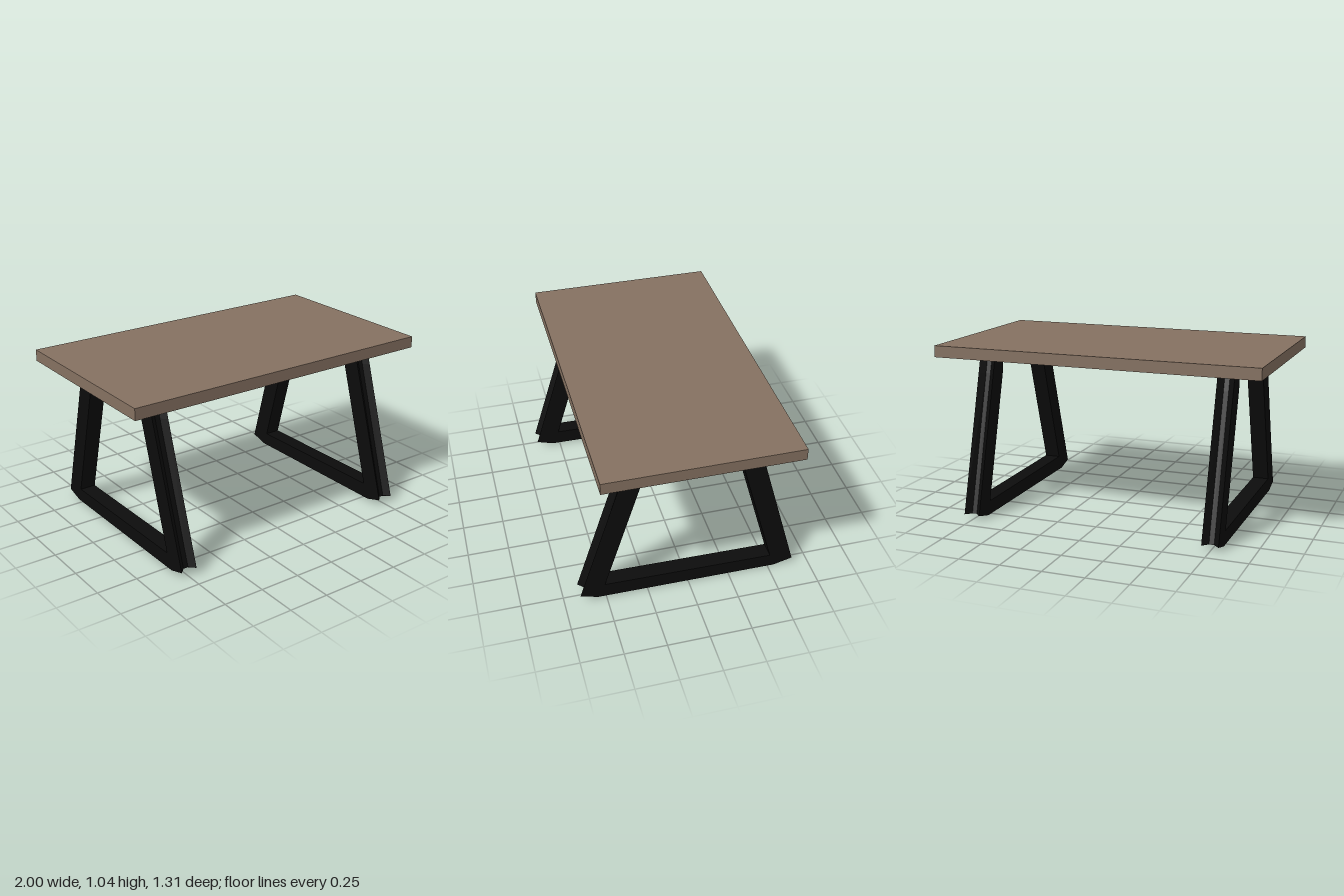
import * as THREE from 'three';
import { ConvexGeometry } from 'three/addons/geometries/ConvexGeometry.js';

const wood = new THREE.MeshStandardMaterial({ color: 0x857161 });
wood.name = 'brown wood';
const steel = new THREE.MeshStandardMaterial({ color: 0x0c0c0c });
steel.name = 'black steel';

function addMesh(parent, name, geometry, material) {
  const mesh = new THREE.Mesh(geometry, material);
  mesh.name = name;
  parent.add(mesh);
  return mesh;
}

// Stations along the leg frame: outer z, outer y, inner z, inner y, groove depth
const STATIONS = [
  [0.36, 0.975, 0.255, 0.975, 0.03],
  [0.396, 0.86, 0.27, 0.86, 0.03],
  [0.655, 0.04, 0.506, 0.1, 0.035],
  [0.55, 0.008, 0.504, 0.1, 0],
  [-0.54, 0, -0.509, 0.085, 0],
  [-0.655, 0.03, -0.511, 0.085, 0.035],
  [-0.422, 0.86, -0.295, 0.86, 0.03],
  [-0.39, 0.975, -0.29, 0.975, 0.03],
];

// Trapezoid bar whose outer face has a groove on the sloping legs
function frameGeometry() {
  const rings = STATIONS.map(([oz, oy, iz, iy, depth]) => {
    const gz = oz - Math.sign(oz) * depth;
    return [
      [-0.05, oy, oz], [-0.015, oy, gz], [0.015, oy, gz],
      [0.05, oy, oz], [0.05, iy, iz], [-0.05, iy, iz],
    ];
  });
  const positions = [];
  for (let i = 0; i < rings.length - 1; i++) {
    for (let j = 0; j < 6; j++) {
      const k = (j + 1) % 6;
      const a = rings[i][j], b = rings[i][k];
      const c = rings[i + 1][j], d = rings[i + 1][k];
      positions.push(...a, ...c, ...b, ...b, ...c, ...d);
    }
  }
  const geometry = new THREE.BufferGeometry();
  geometry.setAttribute('position', new THREE.Float32BufferAttribute(positions, 3));
  geometry.computeVertexNormals();
  return geometry;
}

// Flared mounting plate with clipped corners, tapering onto the leg
function plateGeometry(inner, outer, legInner, legOuter) {
  const clip = 0.045 * Math.sign(outer - inner);
  const points = [];
  for (const s of [-1, 1]) {
    points.push(
      new THREE.Vector3(s * 0.1, 0.975, inner),
      new THREE.Vector3(s * 0.145, 0.975, inner + clip),
      new THREE.Vector3(s * 0.145, 0.975, outer - clip),
      new THREE.Vector3(s * 0.1, 0.975, outer),
      new THREE.Vector3(s * 0.05, 0.936, legInner),
      new THREE.Vector3(s * 0.05, 0.962, legOuter),
    );
  }
  return new ConvexGeometry(points);
}

export function createModel() {
  const table = new THREE.Group();
  table.name = 'table';

  // Table top
  const top = addMesh(table, 'tableTop', new THREE.BoxGeometry(2, 0.07, 1.14), wood);
  top.position.set(0, 1.01, -0.02);

  // Leg frames with their mounting plates
  const frame = frameGeometry();
  const frontPlate = plateGeometry(0.1, 0.42, 0.255, 0.365);
  const backPlate = plateGeometry(-0.135, -0.46, -0.29, -0.393);
  for (const [side, x] of [['left', 0.75], ['right', -0.75]]) {
    const leg = new THREE.Group();
    leg.name = side + 'Leg';
    leg.position.x = x;
    addMesh(leg, side + 'LegFrame', frame, steel);
    addMesh(leg, side + 'FrontPlate', frontPlate, steel);
    addMesh(leg, side + 'BackPlate', backPlate, steel);
    table.add(leg);
  }
  return table;
}
